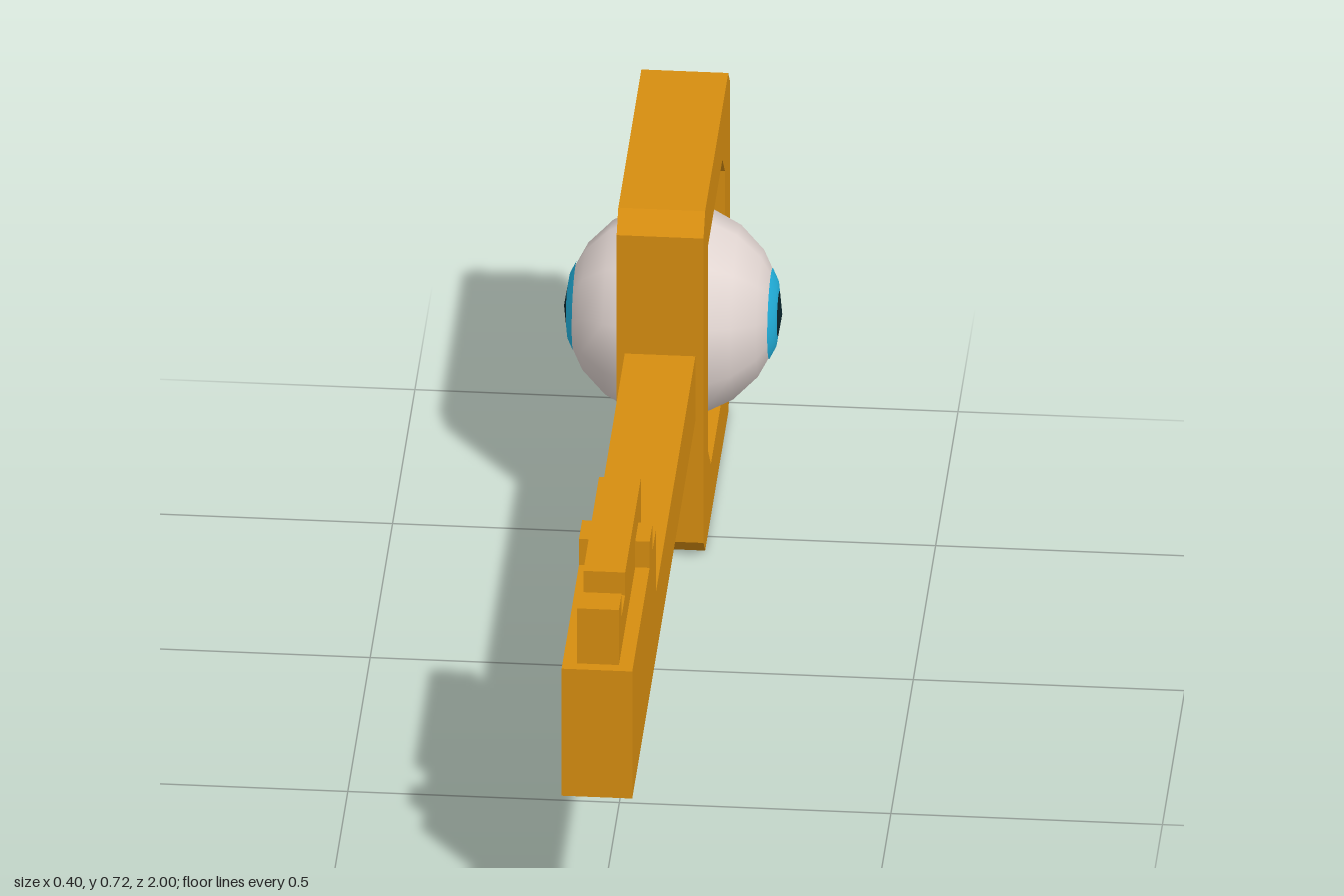
import * as THREE from 'three';

const material = (name, color, extra = {}) => {
  const m = new THREE.MeshStandardMaterial({ color, ...extra });
  m.name = name;
  return m;
};

// Extrudes a side profile of [z, y] points, centred across x
function sidePlate(name, points, width, mat, hole) {
  const toVectors = (list) => list.map(([z, y]) => new THREE.Vector2(z, y));
  const shape = new THREE.Shape(toVectors(points));
  if (hole) shape.holes.push(new THREE.Path(toVectors(hole)));
  const geometry = new THREE.ExtrudeGeometry(shape, { depth: width, bevelEnabled: false });
  geometry.translate(0, 0, -width / 2).rotateY(-Math.PI / 2);
  const mesh = new THREE.Mesh(geometry, mat);
  mesh.name = name;
  return mesh;
}

export function createModel() {
  const gold = material('gold', 0xd68d10);
  const white = material('eye white', 0xe2d6d2);
  const blue = material('iris blue', 0x22b2de);
  const dark = material('pupil dark', 0x0a252c);
  const key = new THREE.Group();
  key.name = 'eyeKey';

  // Bow: chamfered frame with two cut corners in its window
  key.add(sidePlate('bowFrame', [
    [-0.963, 0], [-0.447, 0], [-0.41, 0.037], [-0.41, 0.679],
    [-0.447, 0.716], [-0.963, 0.716], [-1, 0.679], [-1, 0.037],
  ], 0.16, gold, [
    [-0.89, 0.11], [-0.89, 0.55], [-0.833, 0.607],
    [-0.515, 0.607], [-0.515, 0.17], [-0.575, 0.11],
  ]));

  // Shaft and the raised block at its tip
  key.add(sidePlate('shaft', [
    [-0.41, 0.294], [1, 0.294], [1, 0.562], [0.47, 0.562], [0.47, 0.43], [-0.41, 0.43],
  ], 0.13, gold));

  // Narrow notched ridge on the block, crossed by a low wide tooth
  key.add(sidePlate('bitRidge', [
    [0.487, 0.56], [0.978, 0.56], [0.978, 0.678], [0.917, 0.678],
    [0.917, 0.63], [0.838, 0.63], [0.838, 0.678], [0.487, 0.678],
  ], 0.077, gold));
  key.add(sidePlate('bitTooth', [
    [0.543, 0.56], [0.613, 0.56], [0.613, 0.617], [0.543, 0.617],
  ], 0.13, gold));

  // Eyeball with its poles pointing sideways
  const eye = new THREE.Group();
  eye.name = 'eye';
  eye.position.set(0, 0.36, -0.703);
  const ball = new THREE.Mesh(new THREE.SphereGeometry(0.2, 10, 10).rotateZ(-Math.PI / 2), white);
  ball.name = 'eyeball';
  eye.add(ball);

  // Iris ring and pupil on both poles, hugging the ball's facets
  const lift = 0.001;
  const painted = [
    ['Iris', blue, [[0.084, 0.179], [0.0618, 0.1902], [0.042, 0.1933]]],
    ['Pupil', dark, [[0.042, 0.1933], [0, 0.2]]],
  ];
  for (const side of [1, -1]) {
    for (const [name, mat, profile] of painted) {
      const points = profile.map(([r, h]) => new THREE.Vector2(r, h + lift));
      const cap = new THREE.Mesh(new THREE.LatheGeometry(points, 40), mat);
      cap.rotation.z = -side * Math.PI / 2;
      cap.name = (side > 0 ? 'left' : 'right') + name;
      eye.add(cap);
    }
  }
  key.add(eye);
  return key;
}
